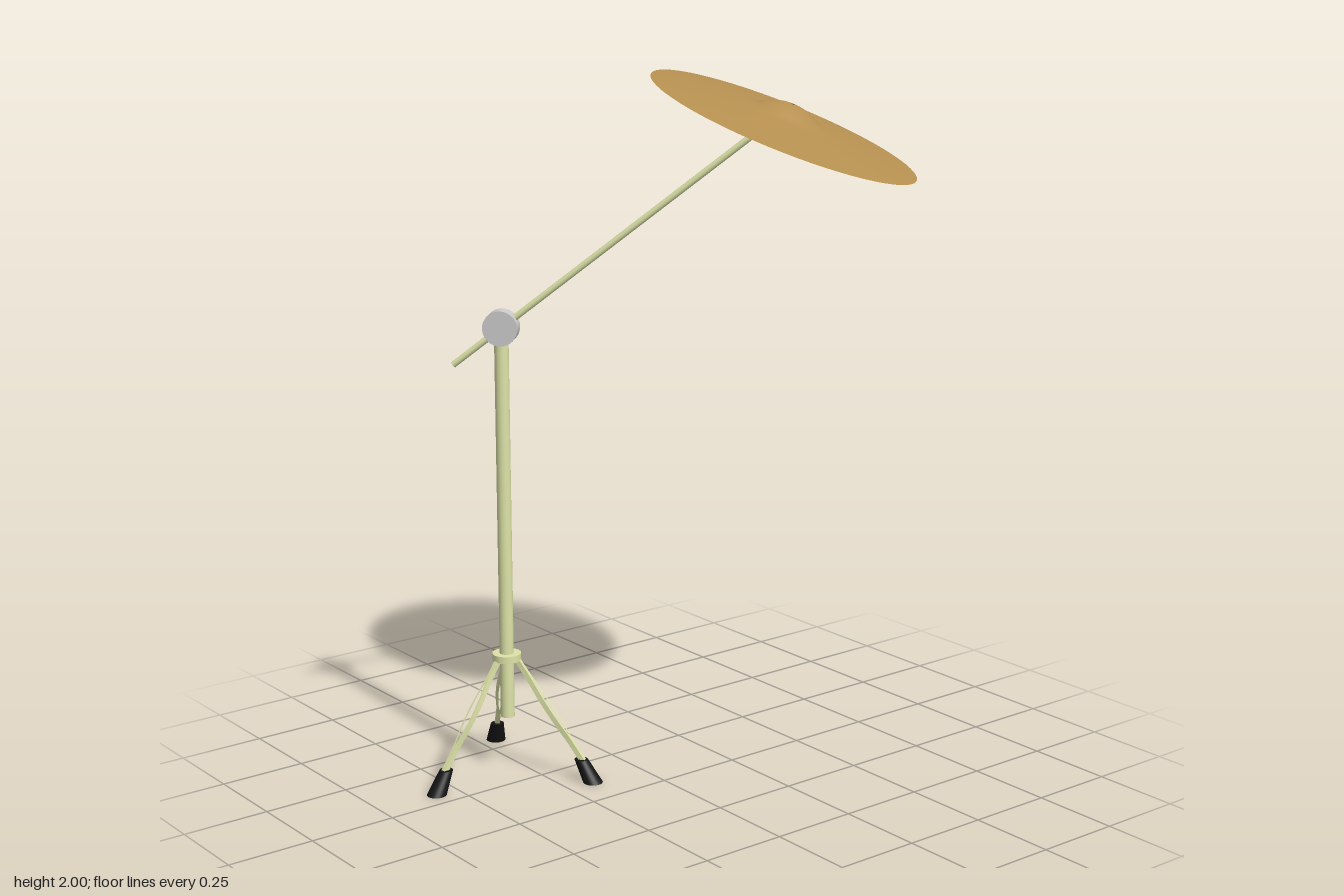
import * as THREE from 'three';

const paint = (color) => new THREE.MeshStandardMaterial({ color });
const METAL = paint(0xdde3a8);
const GREY = paint(0xcccccc);
const RUBBER = paint(0x151515);
const BRONZE = paint(0xb58f50);
BRONZE.side = THREE.DoubleSide;

const UP = new THREE.Vector3(0, 1, 0);

function add(parent, name, geometry, material) {
  const mesh = new THREE.Mesh(geometry, material);
  mesh.name = name;
  parent.add(mesh);
  return mesh;
}

// Round bar between two points
function rod(parent, name, a, b, radius, material) {
  const dir = b.clone().sub(a);
  const mesh = add(parent, name, new THREE.CylinderGeometry(radius, radius, dir.length(), 20), material);
  mesh.position.copy(a).add(b).multiplyScalar(0.5);
  mesh.quaternion.setFromUnitVectors(UP, dir.normalize());
  return mesh;
}

// Closed outline symmetric about x = 0, from [halfWidth, y] pairs
function symmetric(pairs, PathType) {
  const curve = new THREE.SplineCurve(pairs.map(([w, y]) => new THREE.Vector2(w, y)));
  const side = curve.getPoints(24);
  const other = side.map((p) => new THREE.Vector2(-p.x, p.y)).reverse();
  return new PathType([...side, ...other]);
}

// Flat bar that splits into a slim loop along its middle
function legGeometry() {
  const shape = symmetric([[0.006, 0], [0.006, -0.06], [0.012, -0.12], [0.014, -0.17],
    [0.012, -0.22], [0.006, -0.28], [0.007, -0.36]], THREE.Shape);
  shape.holes.push(symmetric([[0.0005, -0.075], [0.006, -0.12], [0.008, -0.17],
    [0.006, -0.22], [0.0005, -0.265]], THREE.Path));
  const depth = 0.015;
  return new THREE.ExtrudeGeometry(shape, { depth, bevelEnabled: false }).translate(0, 0, -depth / 2);
}

// Tapered foot leaning in along the leg, with its sole flat on the ground
function footGeometry() {
  const height = 0.065;
  const geo = new THREE.CylinderGeometry(0.019, 0.028, height, 24);
  geo.translate(0, height / 2, 0);
  const p = geo.attributes.position;
  for (let i = 0; i < p.count; i++) p.setZ(i, p.getZ(i) - p.getY(i) * 0.54);
  geo.computeVertexNormals();
  return geo;
}

export function createModel() {
  const model = new THREE.Group();
  model.name = 'cymbalStand';

  // Upright pole, leg collar and tripod
  const stand = new THREE.Group();
  stand.name = 'stand';
  stand.position.set(-0.33, 0, 0.31);
  model.add(stand);
  rod(stand, 'pole', new THREE.Vector3(0, 0.17, 0), new THREE.Vector3(0, 1.28, 0), 0.02, METAL);
  add(stand, 'legCollar', new THREE.CylinderGeometry(0.041, 0.041, 0.02, 32), METAL).position.y = 0.35;

  const bar = legGeometry();
  const foot = footGeometry();
  for (let i = 0; i < 3; i++) {
    const leg = new THREE.Group();
    leg.name = 'leg';
    leg.rotation.y = THREE.MathUtils.degToRad(4 + i * 120);
    stand.add(leg);
    const strut = add(leg, 'legBar', bar, METAL);
    strut.position.set(0, 0.345, 0.03);
    strut.rotation.x = -Math.atan2(0.205, 0.295);
    add(leg, 'foot', foot, RUBBER).position.z = 0.257;
  }

  // Tilter joint, its axis level and square to the boom
  const joint = add(stand, 'tilterJoint', new THREE.CylinderGeometry(0.049, 0.049, 0.045, 32), GREY);
  joint.position.y = 1.3;
  joint.quaternion.setFromUnitVectors(UP, new THREE.Vector3(1, 0, 1).normalize());

  // Boom arm
  rod(model, 'boomArm', new THREE.Vector3(-0.435, 1.19, 0.4),
    new THREE.Vector3(0.234, 1.915, -0.239), 0.009, METAL);

  // Cymbal: shallow bow rising to a rounded bell with a small centre hole
  const profile = new THREE.SplineCurve([[0.378, 0], [0.29, 0.011], [0.2, 0.02], [0.125, 0.027],
    [0.095, 0.033], [0.065, 0.047], [0.035, 0.058], [0.005, 0.062]]
    .map(([r, y]) => new THREE.Vector2(r, y)));
  const cymbal = add(model, 'cymbal', new THREE.LatheGeometry(profile.getPoints(40), 72), BRONZE);
  cymbal.position.set(0.2225, 1.8625, -0.2275);
  cymbal.quaternion.setFromUnitVectors(UP, new THREE.Vector3(0.281, 0.9315, -0.231).normalize());

  return model;
}
